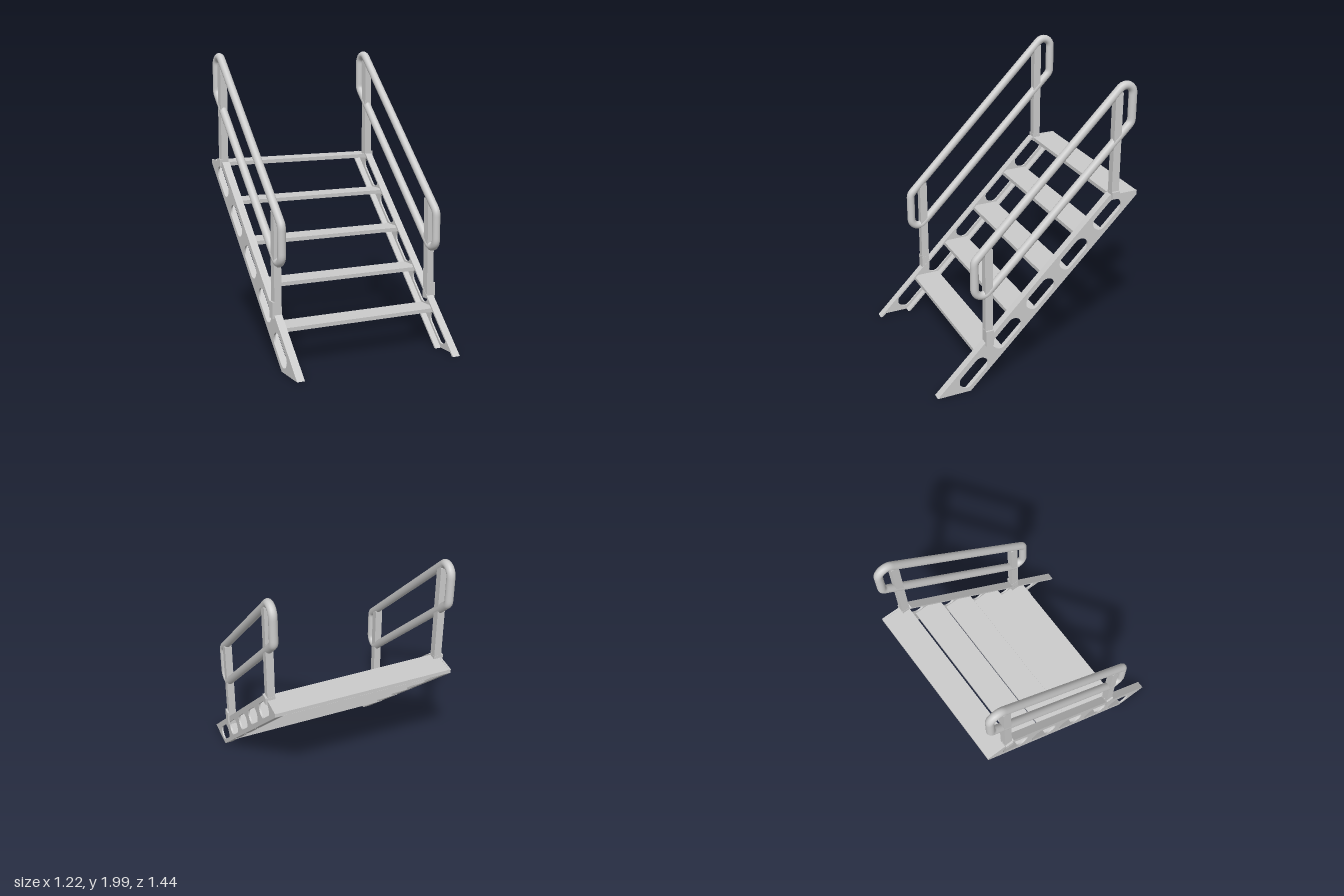
import * as THREE from 'three';

const grey = new THREE.MeshStandardMaterial({ color: 0xcccccc });

function add(parent, name, geometry, x = 0, y = 0, z = 0) {
  const mesh = new THREE.Mesh(geometry, grey);
  mesh.name = name;
  mesh.position.set(x, y, z);
  parent.add(mesh);
}

// Side profile given as [-z, y] points, extruded along x from x0 to x1
function sideSlab(points, x0, x1, holes = []) {
  const shape = new THREE.Shape(points.map(p => new THREE.Vector2(...p)));
  shape.holes.push(...holes);
  const geo = new THREE.ExtrudeGeometry(shape, { depth: x1 - x0, bevelEnabled: false, curveSegments: 10 });
  return geo.rotateY(Math.PI / 2).translate(x0, 0, 0);
}

// Rounded slot lying along the 45 degree slope
function slot(u, y, r = 0.05, half = 0.0525) {
  const a = Math.PI / 4, path = new THREE.Path();
  path.absarc(u + half, y + half, r, a - Math.PI / 2, a + Math.PI / 2, false);
  path.absarc(u - half, y - half, r, a + Math.PI / 2, a + Math.PI * 1.5, false);
  path.closePath();
  return path;
}

// Closed handrail loop: four corners, each rounded with a true arc
function railGeometry() {
  const corners = [[0.44, 0.94], [-0.665, 2.045], [-0.665, 1.715], [0.44, 0.61]]
    .map(([z, y]) => new THREE.Vector3(0, y, z));
  const R = 0.055, path = [];
  corners.forEach((c, i) => {
    const toPrev = corners[(i + 3) % 4].clone().sub(c).normalize();
    const toNext = corners[(i + 1) % 4].clone().sub(c).normalize();
    const half = toPrev.angleTo(toNext) / 2;
    const centre = c.clone().addScaledVector(toPrev.clone().add(toNext).normalize(), R / Math.sin(half));
    const inward = centre.clone().sub(c).normalize();
    const across = toNext.clone().addScaledVector(inward, -toNext.dot(inward)).normalize();
    const sweep = Math.PI / 2 - half;
    for (let k = 0; k <= 10; k++) {
      const t = sweep * (k / 5 - 1);
      path.push(centre.clone().addScaledVector(inward, -R * Math.cos(t)).addScaledVector(across, R * Math.sin(t)));
    }
  });
  const loop = new THREE.CurvePath();
  path.forEach((p, i) => loop.add(new THREE.LineCurve3(p, path[(i + 1) % path.length])));
  const smooth = new THREE.CatmullRomCurve3(loop.getSpacedPoints(240).slice(0, -1), true);
  return new THREE.TubeGeometry(smooth, 260, 0.028, 16, true);
}

export function createModel() {
  const model = new THREE.Group();
  model.name = 'staircase';

  // Treads climb at 45 degrees; the top one covers the stringer ends
  for (let i = 0; i < 5; i++) {
    const width = i === 4 ? 1.2 : 1.18;
    add(model, 'tread', new THREE.BoxGeometry(width, 0.026, 0.19), 0, 0.252 + i * 0.242, 0.335 - i * 0.24);
  }

  const web = [[-0.72, 0], [-0.485, 0], [0.72, 1.205], [0.72, 1.235], [0.515, 1.235]];
  const topFlange = [[-0.72, 0], [-0.703, 0], [0.532, 1.235], [0.515, 1.235]];
  const bottomFlange = [[-0.502, 0], [-0.485, 0], [0.72, 1.205], [0.72, 1.222]];

  for (const s of [1, -1]) {
    const side = new THREE.Group();
    side.name = s > 0 ? 'leftSide' : 'rightSide';
    model.add(side);
    const span = (a, b) => (s > 0 ? [a, b] : [-b, -a]);

    // Channel stringer with slotted web and inward flanges
    const slots = [0, 1, 2, 3, 4].map(i => slot(-0.462 + i * 0.241, 0.134 + i * 0.242));
    add(side, 'stringerWeb', sideSlab(web, ...span(0.588, 0.6), slots));
    add(side, 'stringerTopFlange', sideSlab(topFlange, ...span(0.546, 0.59)));
    add(side, 'stringerBottomFlange', sideSlab(bottomFlange, ...span(0.546, 0.59)));

    // Posts and their mounting sleeves
    const x = s * 0.574;
    add(side, 'frontPost', new THREE.BoxGeometry(0.05, 0.69, 0.053), x, 0.675, 0.349);
    add(side, 'backPost', new THREE.BoxGeometry(0.05, 0.715, 0.053), x, 1.57, -0.556);
    add(side, 'frontPostSleeve', new THREE.BoxGeometry(0.064, 0.11, 0.055), s * 0.58, 0.376, 0.349);
    add(side, 'backPostSleeve', new THREE.BoxGeometry(0.064, 0.05, 0.055), s * 0.58, 1.23, -0.556);

    add(side, 'handrail', railGeometry(), s * 0.574);
  }
  return model;
}
